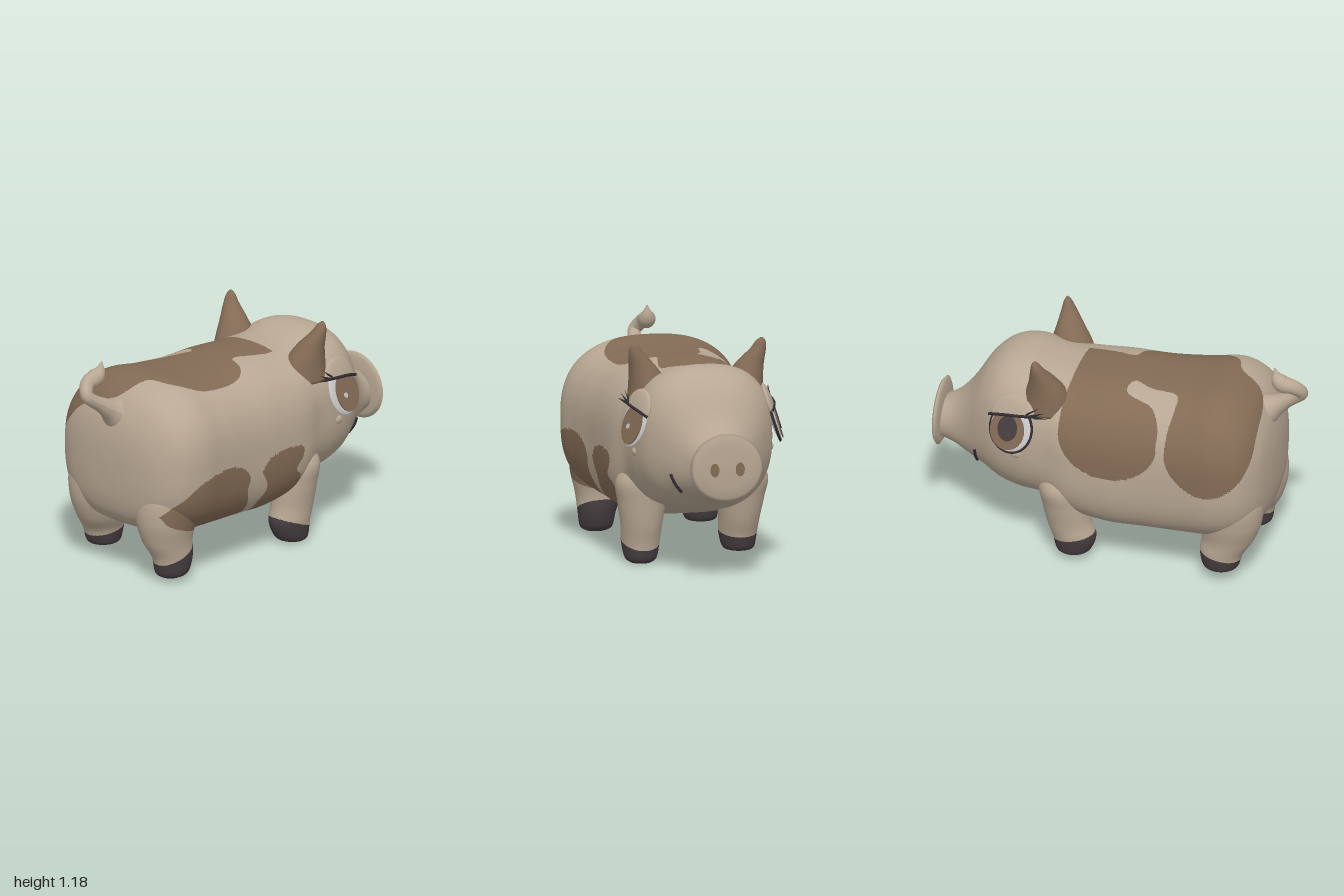
import * as THREE from 'three';

const mat = (name, color) => Object.assign(new THREE.MeshStandardMaterial({ color }), { name });
const skin = mat('skin', 0xb8a793);
const patch = mat('patch', 0x836b55);
const hoof = mat('hoof', 0x463d40);
const white = mat('eyeWhite', 0xc9c9c9);
const dark = mat('lash', 0x332d33);

// Catmull-Rom interpolation of rows of numbers
function smooth(rows, n) {
  const last = rows.length - 1;
  return Array.from({ length: n + 1 }, (_, k) => {
    const u = (k / n) * last, i = Math.min(Math.floor(u), last - 1), t = u - i;
    const a = rows[Math.max(i - 1, 0)], b = rows[i], c = rows[i + 1], d = rows[Math.min(i + 2, last)];
    return b.map((_, j) => b[j] + 0.5 * t * (c[j] - a[j] + t * (2 * a[j] - 5 * b[j] + 4 * c[j] - d[j]
      + t * (3 * (b[j] - c[j]) + d[j] - a[j]))));
  });
}

// Closed skin over rings of points, with both ends capped
function loft(rings) {
  const m = rings[0].length, n = rings.length, pos = rings.flat(2), idx = [];
  const at = (i, j) => i * m + (j % m);
  for (let i = 0; i < n - 1; i++) for (let j = 0; j < m; j++) {
    idx.push(at(i, j), at(i + 1, j), at(i, j + 1), at(i + 1, j), at(i + 1, j + 1), at(i, j + 1));
  }
  [0, n - 1].forEach((i, e) => {
    pos.push(...[0, 1, 2].map(c => rings[i].reduce((s, p) => s + p[c] / m, 0)));
    for (let j = 0; j < m; j++) idx.push(n * m + e, at(i, j + e), at(i, j + 1 - e));
  });
  const g = new THREE.BufferGeometry();
  g.setAttribute('position', new THREE.Float32BufferAttribute(pos, 3));
  g.setIndex(idx);
  g.computeVertexNormals();
  return g;
}

// Upright loft from rows of [y, centre x, centre z, radius x, radius z]
const column = (rows, steps, sides) => loft(smooth(rows, steps).map(([y, cx, cz, rx, rz]) =>
  Array.from({ length: sides }, (_, j) => {
    const a = (j / sides) * Math.PI * 2;
    return [cx - Math.sin(a) * rx, y, cz + Math.cos(a) * rz];
  })));

// Sort faces into material groups by position, splitting those that straddle a colour border
function paint(g, count, rule) {
  const pos = [...g.attributes.position.array], nor = [...g.attributes.normal.array], ix = g.index.array;
  const buckets = Array.from({ length: count }, () => []);
  const mean = (arr, f, k) => f.reduce((s, v) => s + arr[v * 3 + k], 0) / f.length;
  const kind = f => rule(mean(pos, f, 0), mean(pos, f, 1), mean(pos, f, 2));
  const middle = (...f) => {
    for (let k = 0; k < 3; k++) { pos.push(mean(pos, f, k)); nor.push(mean(nor, f, k)); }
    return pos.length / 3 - 1;
  };
  const place = (a, b, c, depth) => {
    const k = kind([a]);
    if (!depth || (k === kind([b]) && k === kind([c]))) { buckets[kind([a, b, c])].push(a, b, c); return; }
    const d = middle(a, b), e = middle(b, c), f = middle(c, a);
    [[a, d, f], [d, b, e], [f, e, c], [d, e, f]].forEach(t => place(...t, depth - 1));
  };
  for (let i = 0; i < ix.length; i += 3) place(ix[i], ix[i + 1], ix[i + 2], 2);
  g.setAttribute('position', new THREE.Float32BufferAttribute(pos, 3));
  g.setAttribute('normal', new THREE.Float32BufferAttribute(nor, 3));
  g.setIndex(buckets.flat());
  let start = 0;
  buckets.forEach((b, i) => { g.addGroup(start, b.length, i); start += b.length; });
  return g;
}

function inside(poly, x, y) {
  let hit = false;
  poly.forEach(([ax, ay], i) => {
    const [bx, by] = poly[(i + 1) % poly.length];
    if ((ay > y) !== (by > y) && x < ax + ((y - ay) / (by - ay)) * (bx - ax)) hit = !hit;
  });
  return hit;
}

// Patch outlines: the saddle in x,z and two flank spots in x,y
const saddle = smooth([[-0.78, -0.6], [-0.78, -0.25], [-0.77, -0.08], [-0.73, 0.02], [-0.62, 0.08], [-0.57, 0.2],
  [-0.45, 0.28], [-0.28, 0.285], [-0.14, 0.26], [-0.07, 0.2], [-0.04, 0.11], [0.06, 0.13], [0.2, 0.15],
  [0.22, 0.1], [0.23, -0.17], [0.25, -0.4], [0.25, -0.6], [-0.28, -0.6], [-0.28, -0.42], [-0.28, -0.37], [-0.22, -0.28],
  [-0.08, -0.22], [-0.1, -0.13], [-0.2, -0.17], [-0.34, -0.2], [-0.35, -0.3], [-0.33, -0.42], [-0.33, -0.6]], 110);
const flankSpots = [
  smooth([[-0.79, 0.39], [-0.7, 0.48], [-0.6, 0.56], [-0.45, 0.59], [-0.3, 0.57], [-0.22, 0.5], [-0.23, 0.42],
    [-0.2, 0.32], [-0.23, 0.18], [-0.42, 0.18], [-0.5, 0.25], [-0.6, 0.28], [-0.74, 0.33], [-0.79, 0.39]], 60),
  smooth([[-0.13, 0.5], [-0.05, 0.57], [0.15, 0.58], [0.18, 0.52], [0.13, 0.45], [0.18, 0.4], [0.16, 0.3],
    [0.1, 0.2], [0, 0.17], [-0.1, 0.18], [-0.13, 0.3], [-0.08, 0.4], [-0.13, 0.5]], 60),
];
const lobe = (x, c, w, low) => 0.82 - (0.82 - low) * Math.sqrt(Math.max(0, 1 - ((x - c) / w) ** 2));
const isPatch = (x, y, z) => (z > 0.12 && y < 0.7 && flankSpots.some(s => inside(s, x, y)))
  || (y > 0.45 && inside(saddle, x, z)
    && (z > -0.3 || y > Math.min(lobe(x, -0.02, 0.27, 0.58), lobe(x, -0.55, 0.23, 0.57))));

export function createModel() {
  const root = new THREE.Group();
  const add = (parent, name, geo, m, x = 0, y = 0, z = 0) => {
    const mesh = new THREE.Mesh(geo, m);
    mesh.name = name;
    mesh.position.set(x, y, z);
    parent.add(mesh);
    return mesh;
  };

  // Body, head and muzzle in one skin: [x, top, bottom, half width, roundness above, roundness below]
  const sections = [[-0.845, 0.64, 0.57, 0.03, 0.9, 0.9], [-0.835, 0.76, 0.42, 0.18, 0.86, 0.86],
    [-0.8, 0.88, 0.32, 0.325, 0.84, 0.78], [-0.72, 0.99, 0.26, 0.43, 0.8, 0.7], [-0.58, 1.05, 0.225, 0.475, 0.8, 0.66],
    [-0.4, 1.035, 0.205, 0.455, 0.8, 0.66], [-0.2, 1.025, 0.195, 0.435, 0.8, 0.66], [0, 1.03, 0.195, 0.43, 0.8, 0.66],
    [0.2, 1.02, 0.245, 0.42, 0.8, 0.64], [0.34, 1.03, 0.3, 0.385, 0.78, 0.72], [0.48, 1.07, 0.3, 0.37, 0.78, 0.8],
    [0.6, 1.055, 0.325, 0.34, 0.8, 0.84], [0.7, 0.98, 0.375, 0.275, 0.84, 0.84], [0.8, 0.825, 0.415, 0.19, 0.88, 0.84],
    [0.88, 0.735, 0.45, 0.143, 0.95, 0.9], [0.96, 0.69, 0.475, 0.12, 1, 1]];
  const power = (v, e) => Math.sign(v) * Math.abs(v) ** e;
  const body = loft(smooth(sections, 165).map(([x, t, b, w, up, low]) => Array.from({ length: 120 }, (_, j) => {
    const a = (j / 120) * Math.PI * 2, s = Math.sin(a), e = s > 0 ? up : low;
    const hollow = 0.05 * Math.max(0, -s) ** 8 * Math.max(0, 1 - ((x + 0.2) / 0.35) ** 2);
    return [x, (t + b) / 2 + power(s, e) * (t - b) / 2 + hollow, power(Math.cos(a), e) * w];
  })));
  add(root, 'body', paint(body, 2, (x, y, z) => (isPatch(x, y, z) ? 1 : 0)), [skin, patch]);

  // Legs with dark hooves
  const front = [[0, 0.25, 0.27, 0.05, 0.05], [0.025, 0.235, 0.267, 0.09, 0.083], [0.11, 0.222, 0.265, 0.115, 0.1],
    [0.2, 0.24, 0.265, 0.117, 0.108], [0.32, 0.252, 0.265, 0.12, 0.128], [0.44, 0.265, 0.26, 0.115, 0.145], [0.56, 0.27, 0.22, 0.08, 0.11]];
  const rear = [[0.02, -0.645, 0.275, 0.05, 0.05], [0.045, -0.635, 0.275, 0.092, 0.084], [0.13, -0.63, 0.272, 0.115, 0.1],
    [0.22, -0.65, 0.255, 0.14, 0.125], [0.34, -0.655, 0.25, 0.163, 0.155], [0.48, -0.64, 0.24, 0.165, 0.17], [0.62, -0.62, 0.2, 0.12, 0.12]];
  const leg = (name, rows, side, dx, dy, slope, cuff, spot) => {
    const moved = rows.map(([y, cx, cz, rx, rz], i) => {
      const k = Math.max(0, 1 - i / 5);
      return [y + dy * k, cx + dx * k, cz * side, rx, rz];
    });
    const x0 = moved[1][1], top = moved[0][0] + cuff;
    add(root, name, paint(column(moved, 50, 48), 3, (x, y, z) =>
      (y < top + slope * (x - x0) ? 2 : spot(x, y, z) ? 1 : 0)), [skin, patch, hoof]);
  };
  const plain = () => false;
  leg('frontLeftLeg', front, 1, 0, 0, -0.35, 0.105, plain);
  leg('frontRightLeg', front, -1, -0.05, 0.035, -0.2, 0.1, plain);
  leg('rearLeftLeg', rear, 1, 0, 0, 0.45, 0.125, isPatch);
  leg('rearRightLeg', rear, -1, 0.05, 0.035, 0.2, 0.085, plain);

  // Snout plate with nostrils
  const disc = [[0, -0.02], [0.1, -0.02], [0.17, -0.013], [0.195, 0], [0.18, 0.012], [0.12, 0.019], [0, 0.021]];
  const snout = new THREE.LatheGeometry(disc.map(p => new THREE.Vector2(...p)), 48);
  snout.rotateZ(-Math.PI / 2).scale(1, 0.91, 1);
  add(root, 'snout', snout, skin, 0.967, 0.607, 0);
  for (const s of [1, -1]) {
    const nostril = new THREE.CylinderGeometry(0.03, 0.03, 0.006, 24).rotateZ(-Math.PI / 2).scale(1, 1.2, 0.8);
    add(root, 'nostril', nostril, patch, 0.987, 0.597, s * 0.068);
  }

  for (const s of [1, -1]) {
    // Ears
    add(root, 'ear', column([[0.86, 0.337, s * 0.26, 0.122, 0.105], [0.95, 0.34, s * 0.258, 0.114, 0.1],
      [1.04, 0.355, s * 0.285, 0.075, 0.075], [1.12, 0.375, s * 0.326, 0.038, 0.042],
      [1.16, 0.384, s * 0.337, 0.02, 0.027], [1.18, 0.388, s * 0.342, 0.005, 0.008]], 25, 28), patch);

    // Mouth corners and cheek spots
    const corner = new THREE.CatmullRomCurve3([[0.735, 0.545, 0.239], [0.737, 0.495, 0.217], [0.735, 0.445, 0.178]]
      .map(([x, y, z]) => new THREE.Vector3(x, y, s * z)));
    add(root, 'mouthCorner', new THREE.TubeGeometry(corner, 10, 0.008, 8), dark);
    add(root, 'cheekSpot', new THREE.SphereGeometry(0.028, 20, 14).scale(1, 0.8, 0.4), skin, 0.48, 0.625, s * 0.367);

    // Eye: local z points out of the head, x times s runs towards the muzzle
    const eye = new THREE.Group();
    eye.name = s > 0 ? 'leftEye' : 'rightEye';
    eye.position.set(0.505, 0.78, s * 0.372);
    eye.lookAt(0.505 + 0.22, 0.78 + 0.31, s * (0.372 + 0.95));
    root.add(eye);
    const plate = (name, r, stretch, m, x, y, z) =>
      add(eye, name, new THREE.CylinderGeometry(r, r, 0.006, 36).rotateX(Math.PI / 2).scale(1, stretch, 1), m, s * x, y, z);
    add(eye, 'eyeball', new THREE.SphereGeometry(1, 36, 20).scale(0.12, 0.13, 0.018), white);
    plate('iris', 0.097, 1.1, patch, 0.012, -0.01, 0.018);
    if (s > 0) plate('glint', 0.013, 1.1, white, -0.015, -0.025, 0.023);
    else {
      plate('pupil', 0.055, 1.25, hoof, 0.01, 0, 0.023);
      add(eye, 'eyeRim', new THREE.TorusGeometry(0.12, 0.007, 8, 40).scale(1, 1.07, 1), dark);
    }
    const lid = new THREE.SphereGeometry(1, 36, 14, 0, Math.PI * 2, 0, Math.PI / 2).scale(0.126, 0.115, 0.026);
    add(eye, 'eyelid', lid, skin, 0, 0.068, 0).rotation.z = -s * 0.14;

    // Lash line and lashes
    const v = (x, y, z) => new THREE.Vector3(s * x, y, z);
    const line = new THREE.CatmullRomCurve3([v(-0.14, 0.094, 0.005), v(-0.06, 0.082, 0.023), v(0.03, 0.07, 0.028), v(0.135, 0.047, 0.005)]);
    add(eye, 'lashLine', new THREE.TubeGeometry(line, 24, 0.008, 8), dark);
    [[-0.205, 0.1], [-0.19, 0.13], [-0.155, 0.15]].forEach(([x, y], i) => {
      const from = v(-0.125 + i * 0.025, 0.09, 0.012), to = v(x, y, 0.022), dir = to.clone().sub(from);
      const lash = add(eye, 'lash', new THREE.ConeGeometry(0.008, dir.length(), 6), dark, ...from.clone().add(to).multiplyScalar(0.5).toArray());
      lash.quaternion.setFromUnitVectors(new THREE.Vector3(0, 1, 0), dir.normalize());
    });
  }

  // Hooked tail, its radius varied along the curve
  const path = new THREE.CatmullRomCurve3([[-0.76, 0.87, 0], [-0.87, 0.94, 0], [-0.962, 1.01, -0.02], [-0.925, 1.06, -0.055],
    [-0.87, 1.075, -0.06], [-0.84, 1.105, -0.055], [-0.825, 1.16, -0.05]].map(p => new THREE.Vector3(...p)));
  const tail = new THREE.TubeGeometry(path, 60, 1, 14), p = tail.attributes.position;
  const radii = smooth([[0.09], [0.055], [0.038], [0.034], [0.038], [0.044], [0.003]], 60);
  for (let i = 0; i < p.count; i++) {
    const ring = Math.floor(i / 15), c = path.getPointAt(ring / 60);
    const q = new THREE.Vector3().fromBufferAttribute(p, i).sub(c).multiplyScalar(radii[ring][0]).add(c);
    p.setXYZ(i, q.x, q.y, q.z);
  }
  tail.computeVertexNormals();
  add(root, 'tail', tail, skin);

  return root;
}
